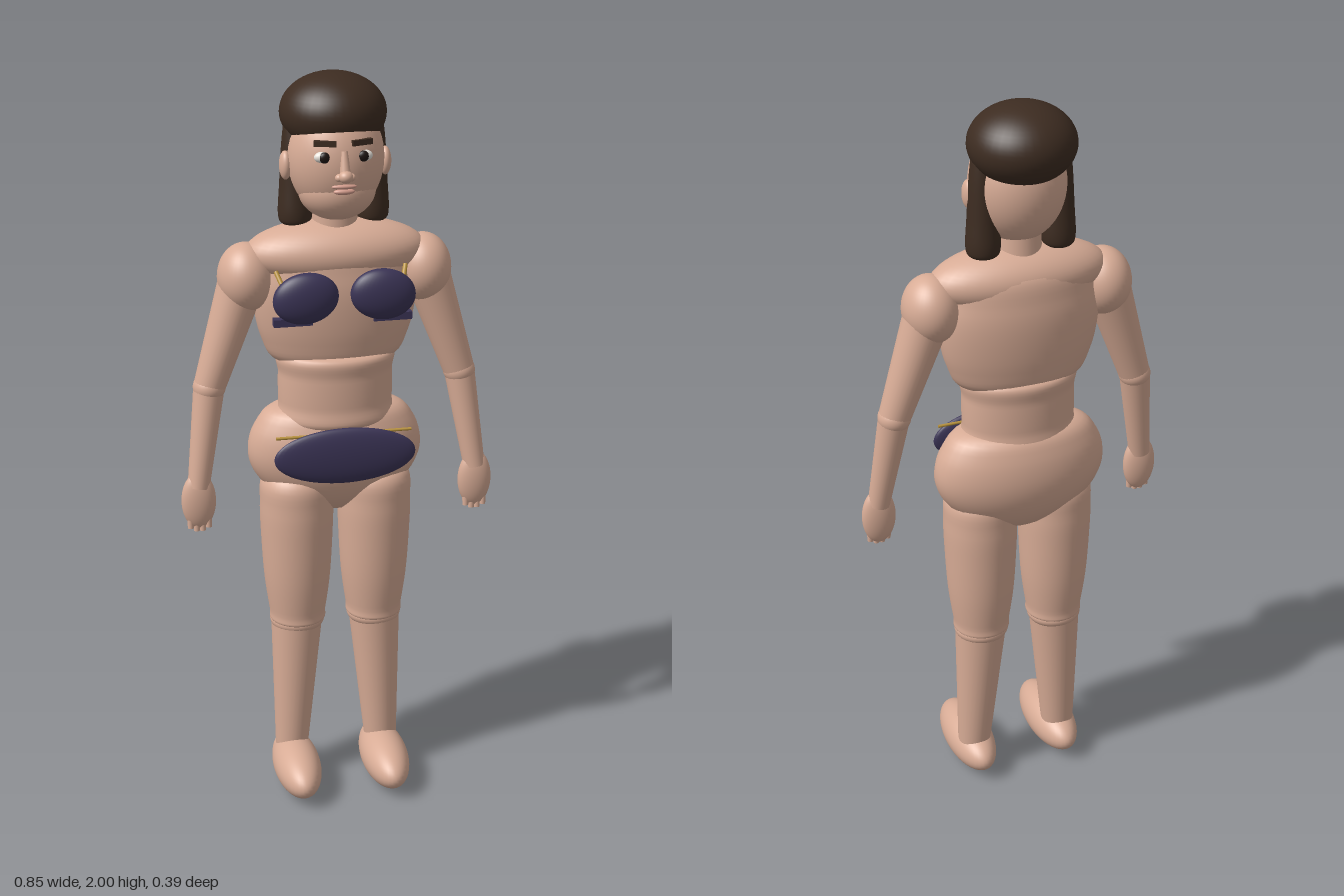
import * as THREE from 'three';

const mat = (name, color) => {
  const m = new THREE.MeshStandardMaterial({ color });
  m.name = name;
  return m;
};

export function createModel() {
  const model = new THREE.Group();
  model.name = 'figure';
  const skin = mat('skin', 0xd8ac96);
  const hair = mat('dark brown hair', 0x3d2c21);
  const navy = mat('navy cloth', 0x3b3456);
  const gold = mat('gold trim', 0xb8923c);
  const white = mat('eye white', 0xe9e4dc);
  const dark = mat('pupil', 0x1d1512);
  const lip = mat('lips', 0xd39c8c);

  const add = (name, geo, material, pos = [0, 0, 0], scale = [1, 1, 1]) => {
    const m = new THREE.Mesh(geo, material);
    m.name = name;
    m.position.set(...pos);
    m.scale.set(...scale);
    model.add(m);
    return m;
  };
  const sphere = new THREE.SphereGeometry(1, 40, 28);
  const ball = (name, material, pos, radii) => add(name, sphere, material, pos, radii);
  // Smooth turned form; profile is [radius, y] from bottom to top, closed at both ends
  const turned = (name, material, profile, pos, depth = 1) => {
    const curve = new THREE.SplineCurve(profile.map(p => new THREE.Vector2(...p)));
    const pts = curve.getPoints(36);
    pts.forEach(p => { p.x = Math.max(p.x, 0); });
    return add(name, new THREE.LatheGeometry(pts, 40), material, pos, [1, 1, depth]);
  };
  // Tapered rod from a to b
  const rod = (name, material, a, b, ra, rb) => {
    const A = new THREE.Vector3(...a), B = new THREE.Vector3(...b);
    const d = B.clone().sub(A);
    const m = add(name, new THREE.CylinderGeometry(rb, ra, d.length(), 28), material);
    m.position.copy(A).add(B).multiplyScalar(0.5);
    m.quaternion.setFromUnitVectors(new THREE.Vector3(0, 1, 0), d.normalize());
    return m;
  };

  // Torso
  turned('hips', skin, [[0, 0.818], [0.08, 0.832], [0.165, 0.88], [0.218, 0.94], [0.235, 1.005],
    [0.215, 1.075], [0.16, 1.125], [0, 1.14]], [0, 0, -0.045], 0.54);
  turned('waist', skin, [[0, 1.08], [0.146, 1.085], [0.152, 1.14], [0.152, 1.22], [0.146, 1.278], [0, 1.282]],
    [0, 0, -0.035], 0.7);
  turned('chest', skin, [[0, 1.248], [0.15, 1.256], [0.195, 1.32], [0.215, 1.42], [0.208, 1.5],
    [0.17, 1.58], [0, 1.61]], [0, 0, -0.04], 0.54);
  ball('shoulderYoke', skin, [0, 1.547, -0.035], [0.238, 0.085, 0.108]);
  rod('neck', skin, [0, 1.57, -0.04], [0, 1.71, -0.035], 0.06, 0.055);

  // Head and face
  ball('head', skin, [0, 1.79, -0.03], [0.124, 0.152, 0.12]);
  ball('jaw', skin, [0, 1.715, -0.012], [0.1, 0.08, 0.092]);
  ball('hairCap', hair, [0, 1.9, -0.06], [0.136, 0.1, 0.134]);
  rod('noseBridge', skin, [0, 1.77, 0.094], [0, 1.83, 0.08], 0.014, 0.009);
  ball('noseTip', skin, [0, 1.77, 0.1], [0.018, 0.016, 0.018]);
  ball('upperLip', lip, [0, 1.741, 0.08], [0.032, 0.007, 0.01]);
  ball('lowerLip', lip, [0, 1.728, 0.08], [0.027, 0.008, 0.01]);

  for (const s of [1, -1]) {
    ball('eye', white, [s * 0.05, 1.815, 0.07], [0.024, 0.015, 0.014]);
    ball('pupil', dark, [s * 0.049, 1.815, 0.078], [0.014, 0.014, 0.009]);
    const brow = add('eyebrow', new THREE.BoxGeometry(0.056, 0.014, 0.014), hair, [s * 0.046, 1.849, 0.071]);
    brow.rotation.y = s * 0.3;
    ball('nostril', skin, [s * 0.015, 1.767, 0.094], [0.011, 0.01, 0.011]);
    ball('ear', skin, [s * 0.128, 1.775, -0.03], [0.016, 0.037, 0.025]);
    turned('hairLock', hair, [[0, 1.615], [0.034, 1.619], [0.044, 1.645], [0.04, 1.72], [0.034, 1.82], [0.025, 1.9]],
      [s * 0.1, 0, -0.053]);

    // Arm
    ball('shoulder', skin, [s * 0.233, 1.488, -0.035], [0.074, 0.09, 0.083]);
    rod('upperArm', skin, [s * 0.245, 1.47, -0.038], [s * 0.335, 1.2, -0.028], 0.061, 0.042);
    ball('elbow', skin, [s * 0.336, 1.197, -0.028], [0.043, 0.04, 0.044]);
    rod('forearm', skin, [s * 0.337, 1.195, -0.028], [s * 0.376, 0.93, 0.006], 0.041, 0.029);
    ball('hand', skin, [s * 0.377, 0.892, 0.008], [0.046, 0.08, 0.026]);
    for (let i = 0; i < 4; i++) {
      const x = s * (0.353 + i * 0.016);
      rod('finger', skin, [x, 0.87, 0.01], [x, 0.808 + (i % 3 ? 0 : 0.008), 0.014], 0.01, 0.008);
    }

    // Leg
    turned('thigh', skin, [[0, 0.495], [0.07, 0.5], [0.077, 0.53], [0.09, 0.63], [0.097, 0.75],
      [0.099, 0.85], [0.088, 0.93], [0, 0.98]], [s * 0.107, 0, -0.032]);
    ball('knee', skin, [s * 0.108, 0.498, -0.034], [0.075, 0.04, 0.073]);
    rod('shin', skin, [s * 0.11, 0.49, -0.033], [s * 0.129, 0.09, -0.022], 0.07, 0.045);
    ball('foot', skin, [s * 0.126, 0.07, 0.038], [0.065, 0.066, 0.155]);

    // Top garment
    const cup = ball('cup', navy, [s * 0.1, 1.459, 0.088], [0.085, 0.067, 0.033]);
    cup.rotation.z = -s * 0.12;
    add('underBand', new THREE.BoxGeometry(0.1, 0.02, 0.024), navy, [s * 0.13, 1.392, 0.063]);
    rod('strapClip', gold, [s * 0.168, 1.52, 0.042], [s * 0.156, 1.488, 0.07], 0.006, 0.006);
  }

  // Bottom garment
  ball('frontPanel', navy, [0, 1.027, 0.1], [0.188, 0.077, 0.022]);
  rod('waistCord', gold, [-0.18, 1.081, 0.082], [0.18, 1.081, 0.082], 0.004, 0.004);

  return model;
}
